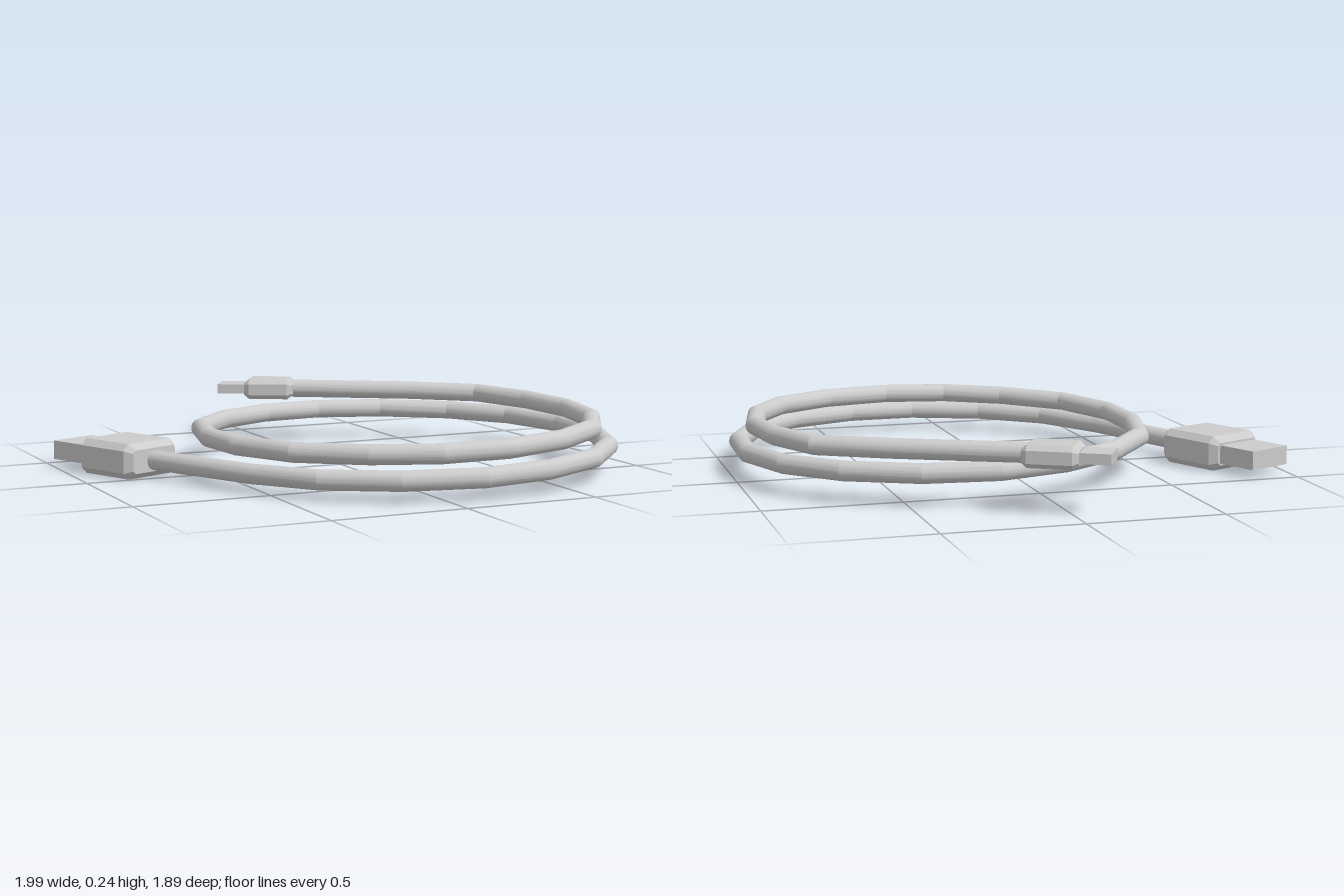
import * as THREE from 'three';
import { toCreasedNormals } from 'three/addons/utils/BufferGeometryUtils.js';

const material = new THREE.MeshStandardMaterial({ color: 0xcccccc });

// Polyline sampled exactly at its corners, with mitred tangents there
class Polyline extends THREE.Curve {
  constructor(points) {
    super();
    this.points = points;
  }
  getPoint(t, target = new THREE.Vector3()) {
    return target.copy(this.points[Math.round(t * (this.points.length - 1))]);
  }
  getPointAt(u, target) {
    return this.getPoint(u, target);
  }
  getTangentAt(u, target = new THREE.Vector3()) {
    const p = this.points, last = p.length - 1, i = Math.round(u * last);
    target.set(0, 0, 0);
    if (i > 0) target.add(p[i].clone().sub(p[i - 1]).normalize());
    if (i < last) target.add(p[i + 1].clone().sub(p[i]).normalize());
    return target.normalize();
  }
}

// Coiled cable as seen from above (x, z); it climbs steadily from plug to plug
const coil = [
  [-0.74, -0.04], [-0.54, 0.42], [-0.385, 0.66], [-0.155, 0.825], [0.12, 0.905],
  [0.39, 0.875], [0.65, 0.75], [0.84, 0.55], [0.945, 0.29], [0.955, 0.02],
  [0.87, -0.245], [0.7, -0.45], [0.455, -0.595], [0.19, -0.645], [-0.065, -0.59],
  [-0.295, -0.455], [-0.47, -0.245], [-0.54, 0.02], [-0.53, 0.27], [-0.425, 0.525],
  [-0.22, 0.71], [0, 0.82], [0.25, 0.84], [0.51, 0.765], [0.725, 0.615],
  [0.855, 0.4], [0.905, 0.145], [0.875, -0.11], [0.78, -0.35], [0.55, -0.51],
  [0.12, -0.745],
];

// Rectangle with cut corners
function cutRectangle(w, h, c) {
  const x = w / 2, y = h / 2;
  return new THREE.Shape([
    [-x + c, -y], [x - c, -y], [x, -y + c], [x, y - c],
    [x - c, y], [-x + c, y], [-x, y - c], [-x, -y + c],
  ].map(([a, b]) => new THREE.Vector2(a, b)));
}

// Connector whose cable end sits at its origin and whose plug points along +z
function makeConnector(name, body, plug) {
  const group = new THREE.Group();
  group.name = name;

  // Chamfered grip
  const { w, h, length, bevel } = body;
  const gripGeometry = new THREE.ExtrudeGeometry(
    cutRectangle(w - 2 * bevel, h - 2 * bevel, bevel * 0.5), {
      depth: length - 2 * bevel * 1.3,
      bevelEnabled: true,
      bevelSegments: 1,
      bevelSize: bevel,
      bevelThickness: bevel * 1.3,
    });
  gripGeometry.translate(0, 0, bevel * 1.3);
  const grip = new THREE.Mesh(gripGeometry, material);
  grip.name = 'grip';

  // Flat plug, sunk slightly into the grip
  const plugMesh = new THREE.Mesh(
    new THREE.BoxGeometry(plug.w, plug.h, plug.length + 0.02), material);
  plugMesh.position.z = length + plug.length / 2 - 0.01;
  plugMesh.name = 'plug';

  group.add(grip, plugMesh);
  return group;
}

export function createModel() {
  const model = new THREE.Group();
  model.name = 'coiledCable';

  // Cable with visible bends between straight runs
  const points = coil.map(([x, z], i) => new THREE.Vector3(x, 0.062 + 0.0046 * i, z));
  const tube = new THREE.TubeGeometry(new Polyline(points), points.length - 1, 0.036, 32, false);
  const cable = new THREE.Mesh(toCreasedNormals(tube, 0.22), material);
  cable.name = 'cable';
  model.add(cable);

  // Large connector at the low end
  const large = makeConnector('largeConnector',
    { w: 0.25, h: 0.13, length: 0.285, bevel: 0.022 },
    { w: 0.185, h: 0.07, length: 0.165 });
  large.position.set(-0.735, 0.065, -0.025);
  large.rotation.y = Math.atan2(-0.4, -0.917);

  // Small connector at the high end
  const small = makeConnector('smallConnector',
    { w: 0.16, h: 0.08, length: 0.2, bevel: 0.016 },
    { w: 0.117, h: 0.038, length: 0.11 });
  small.position.set(0.135, 0.2, -0.745);
  small.rotation.y = Math.atan2(-0.865, -0.5);

  model.add(large, small);
  return model;
}
